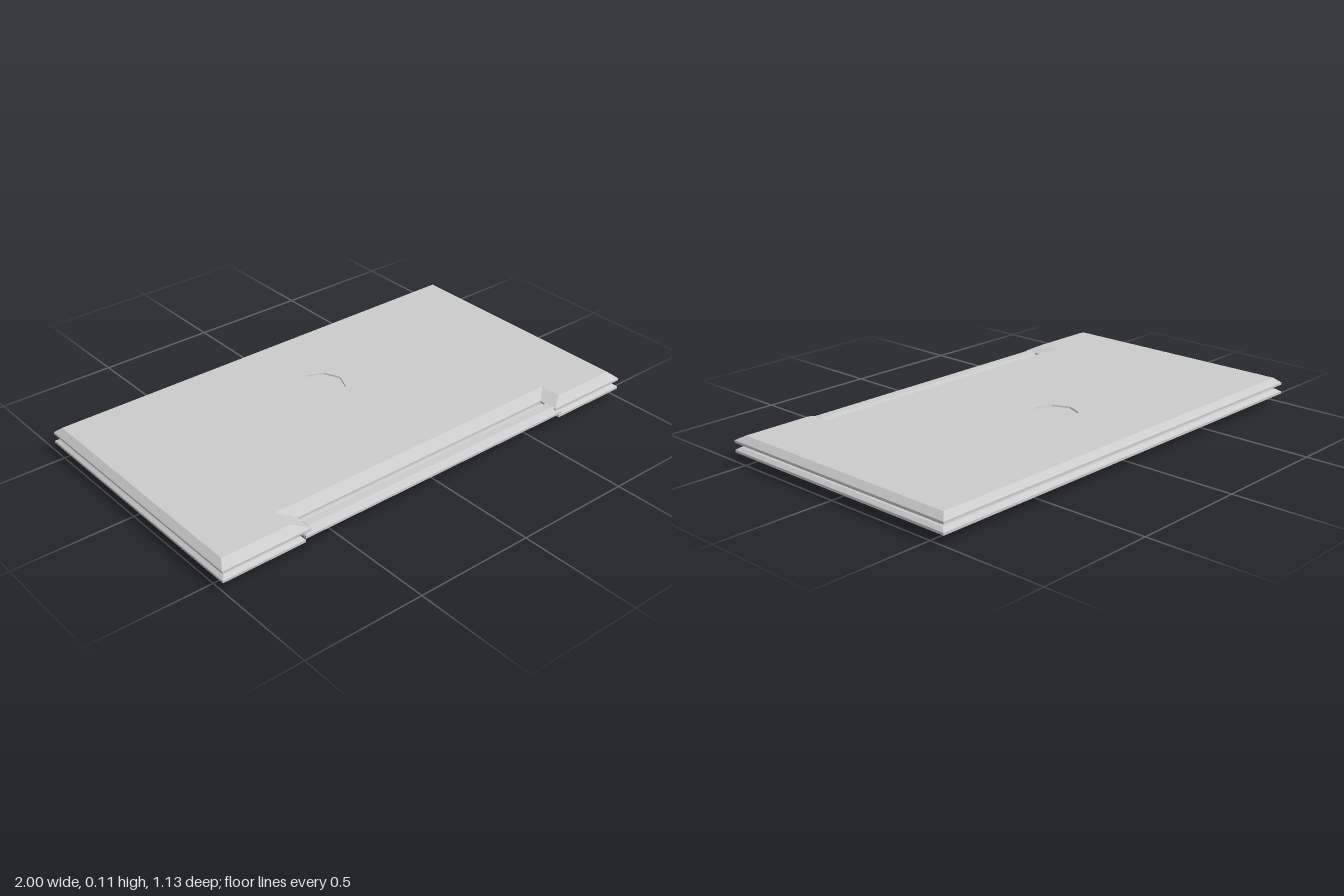
import * as THREE from 'three';

const material = new THREE.MeshStandardMaterial({ color: 0xcccccc, flatShading: true });

// Plan outline with a hinge notch in the front edge, counter-clockwise from above.
const notched = (y, hx, zb, zf, nx, nz) => [
  [-hx, zf], [-nx, zf], [-nx, nz], [nx, nz], [nx, zf], [hx, zf], [hx, zb], [-hx, zb],
].map(([x, z]) => new THREE.Vector3(x, y, z));

const rectangle = (y, hx, zb, zf) => [
  [-hx, zf], [hx, zf], [hx, zb], [-hx, zb],
].map(([x, z]) => new THREE.Vector3(x, y, z));

const octagon = (y, r, cz) => Array.from({ length: 8 }, (_, i) => {
  const a = i * Math.PI / 4;
  return new THREE.Vector3(r * Math.cos(a), y, cz - r * Math.sin(a));
});

// Joins matching loops from bottom to top and closes both ends;
// an optional recess (rim and floor loops) is sunk into the top.
function loft(name, loops, recess) {
  const pos = [];
  const tri = (...pts) => pts.forEach((p) => pos.push(p.x, p.y, p.z));
  const band = (a, b) => a.forEach((p, i) => {
    const j = (i + 1) % a.length;
    tri(p, a[j], b[j]);
    tri(p, b[j], b[i]);
  });
  const cap = (loop, up, hole = []) => {
    const flat = (pts) => pts.map((p) => new THREE.Vector2(p.x, -p.z));
    const all = [...loop, ...hole];
    const faces = THREE.ShapeUtils.triangulateShape(flat(loop), hole.length ? [flat(hole)] : []);
    for (const [a, b, c] of faces) {
      const p = all[a], q = all[b], r = all[c];
      const ccw = (q.x - p.x) * (p.z - r.z) - (r.x - p.x) * (p.z - q.z) > 0;
      if (ccw === up) tri(p, q, r);
      else tri(p, r, q);
    }
  };
  for (let i = 0; i < loops.length - 1; i++) band(loops[i], loops[i + 1]);
  cap(loops[0], false);
  if (recess) {
    const [rim, floor] = recess;
    cap(loops[loops.length - 1], true, [...rim].reverse());
    band(floor.slice().reverse(), rim.slice().reverse());
    cap(floor, true);
  } else cap(loops[loops.length - 1], true);

  const geometry = new THREE.BufferGeometry();
  geometry.setAttribute('position', new THREE.Float32BufferAttribute(pos, 3));
  geometry.computeVertexNormals();
  const mesh = new THREE.Mesh(geometry, material);
  mesh.name = name;
  return mesh;
}

export function createModel() {
  const model = new THREE.Group();
  model.name = 'closedLaptop';

  // Base: wedge underside rising towards the back, bevelled rim
  model.add(loft('base', [
    notched(0, 0.935, -0.345, 0.5, 0.7, 0.43),
    notched(0.037, 1, -0.565, 0.56, 0.645, 0.48),
    notched(0.047, 1, -0.565, 0.56, 0.645, 0.48),
    notched(0.058, 0.985, -0.545, 0.545, 0.655, 0.47),
  ]));

  // Lid: bevelled slab with a shallow round badge recess
  model.add(loft('lid', [
    notched(0.066, 0.985, -0.545, 0.545, 0.65, 0.465),
    notched(0.077, 1, -0.565, 0.56, 0.62, 0.48),
    notched(0.086, 1, -0.565, 0.56, 0.62, 0.48),
    notched(0.108, 0.975, -0.54, 0.52, 0.68, 0.43),
  ], [octagon(0.108, 0.1, -0.155), octagon(0.102, 0.098, -0.155)]));

  // Hinge bar filling the notch and joining both slabs
  model.add(loft('hinge', [
    rectangle(0.036, 0.62, 0.51, 0.54),
    rectangle(0.058, 0.65, 0.497, 0.567),
    rectangle(0.068, 0.65, 0.497, 0.567),
    rectangle(0.09, 0.62, 0.51, 0.545),
  ]));

  return model;
}
